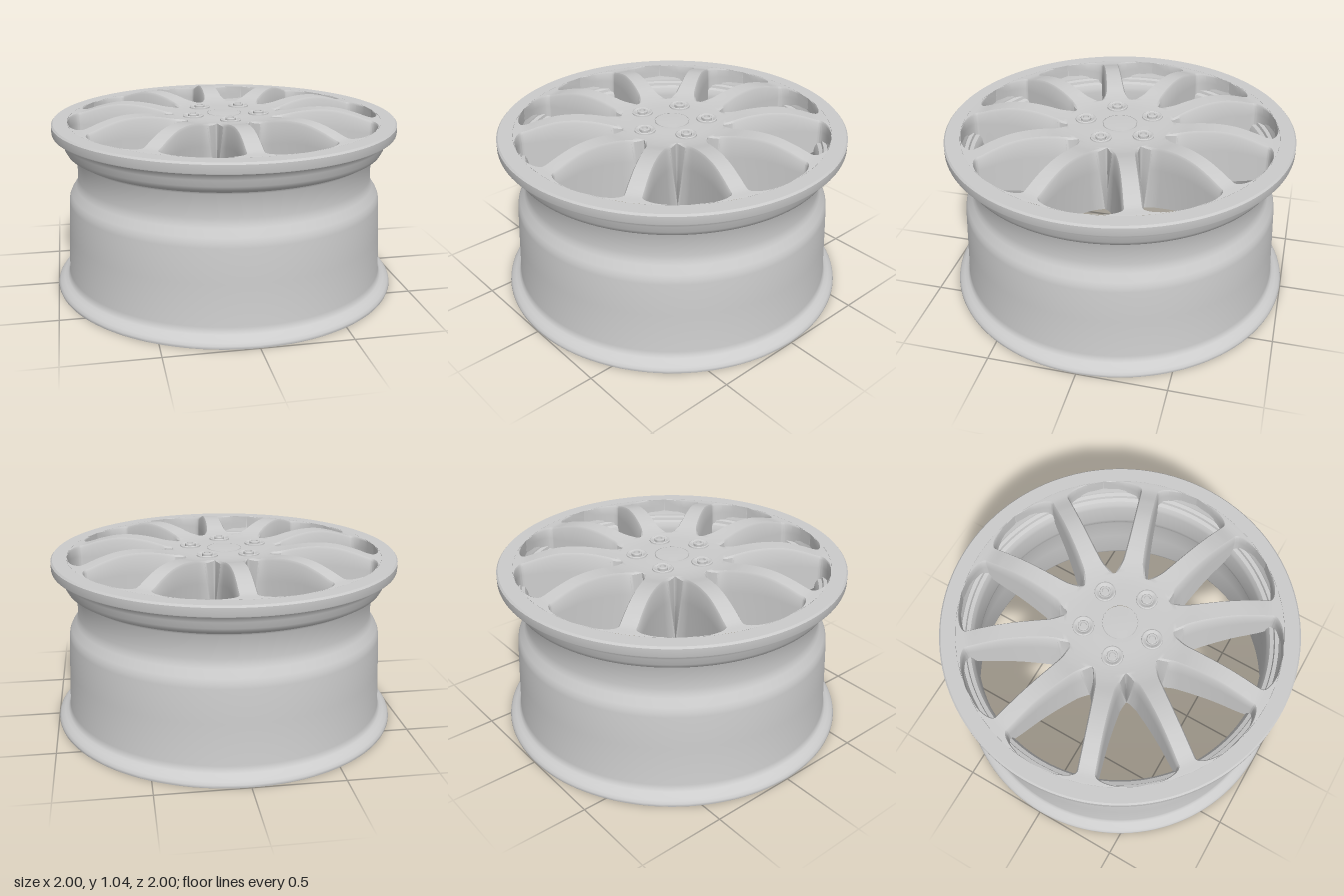
import * as THREE from 'three';
import { toCreasedNormals } from 'three/addons/utils/BufferGeometryUtils.js';

const SPOKES = 10, HALF = Math.PI / SPOKES;
const material = new THREE.MeshStandardMaterial({ color: 0xcccccc });

function add(parent, geometry, name, crease = 0.6) {
  const mesh = new THREE.Mesh(toCreasedNormals(geometry, crease), material);
  mesh.name = name;
  parent.add(mesh);
  return mesh;
}

const lathe = (points, segments) =>
  new THREE.LatheGeometry(points.map(([r, y]) => new THREE.Vector2(r, y)), segments);

// Smooth function of radius through a few [radius, value] pairs
function smooth(pairs) {
  const f = new THREE.CubicInterpolant(pairs.map(p => p[0]), pairs.map(p => p[1]), 1);
  return r => f.evaluate(r)[0];
}

const topY = smooth([[0.1, 0.995], [0.26, 0.996], [0.34, 1.005], [0.45, 1.027], [0.55, 1.037],
  [0.65, 1.032], [0.75, 1.009], [0.84, 0.981], [0.9, 0.975]]);
const bottomY = smooth([[0.1, 0.6], [0.2, 0.6], [0.27, 0.602], [0.36, 0.64], [0.5, 0.69],
  [0.65, 0.735], [0.82, 0.78], [0.9, 0.84]]);
const topHalf = smooth([[0.1, 0.075], [0.3, 0.07], [0.4, 0.058], [0.6, 0.05], [0.9, 0.052]]);
const bottomHalf = smooth([[0.1, 0.1], [0.3, 0.098], [0.4, 0.084], [0.6, 0.064], [0.9, 0.056]]);

// How far the window is open at a radius: 0 at its rounded ends, 1 between
function openness(r, tip, inner, outer) {
  const round = u => { u = Math.min(1, Math.max(0, u)); return Math.sqrt(1 - (1 - u) ** 2); };
  return round((r - tip) / inner) * round((0.9 - r) / outer);
}

function halfAngle(r, halfWidth, open) {
  const spoke = Math.min(HALF, Math.asin(Math.min(1, halfWidth / r)));
  return HALF + (spoke - HALF) * open;
}

// One tenth of the wheel face: hub wedge, spoke and flare into the rim
function spokeGeometry() {
  const positions = [], index = [];
  const rows = 160;
  let cols = 0;
  for (let i = 0; i <= rows; i++) {
    const r = 0.1 + 0.8 * i / rows;
    const openTop = openness(r, 0.295, 0.09, 0.06);
    const a = halfAngle(r, topHalf(r), openTop);
    const b = halfAngle(r, bottomHalf(r), openness(r, 0.35, 0.07, 0.06));
    const top = topY(r), bottom = bottomY(r), edge = top - 0.013 * openTop;
    const loop = [];
    for (const t of [-1, -0.85, -0.4, 0, 0.4, 0.85, 1])
      loop.push([a * t, Math.abs(t) === 1 ? edge : top]);
    const wall = (side, k) => [side * (a + (b - a) * k), edge + (bottom - edge) * k];
    loop.push(wall(1, 0.33), wall(1, 0.67));
    for (const t of [1, 0.5, 0, -0.5, -1]) loop.push([b * t, bottom]);
    loop.push(wall(-1, 0.67), wall(-1, 0.33));
    cols = loop.length;
    for (const [angle, y] of loop) positions.push(r * Math.sin(angle), y, r * Math.cos(angle));
  }
  for (let i = 0; i < rows; i++) {
    for (let j = 0; j < cols; j++) {
      const p = i * cols + j, q = i * cols + (j + 1) % cols;
      index.push(p, p + cols, q, q + cols, q, p + cols);
    }
  }
  const geometry = new THREE.BufferGeometry();
  geometry.setAttribute('position', new THREE.Float32BufferAttribute(positions, 3));
  geometry.setIndex(index);
  return geometry;
}

export function createModel() {
  const wheel = new THREE.Group();
  wheel.name = 'wheelRim';

  // Barrel with both flanges: up the outside, down the inside
  add(wheel, lathe([
    [0.975, 0], [0.998, 0], [1, 0.006], [0.998, 0.016], [0.988, 0.03], [0.965, 0.045],
    [0.945, 0.055], [0.935, 0.068], [0.931, 0.09], [0.92, 0.32], [0.91, 0.51], [0.906, 0.535],
    [0.895, 0.56], [0.868, 0.6], [0.858, 0.622], [0.854, 0.65], [0.854, 0.775], [0.86, 0.786],
    [0.885, 0.797], [0.91, 0.812], [0.922, 0.835], [0.93, 0.87], [0.938, 0.893], [0.953, 0.907],
    [0.975, 0.912], [0.987, 0.916], [0.989, 0.922], [0.989, 0.965], [0.98, 0.975],
    [0.9, 0.975], [0.9, 0.9], [0.888, 0.88], [0.886, 0.868], [0.866, 0.862], [0.862, 0.846],
    [0.842, 0.838], [0.83, 0.815], [0.826, 0.79], [0.826, 0.65], [0.832, 0.615], [0.845, 0.59],
    [0.87, 0.55], [0.882, 0.51], [0.892, 0.32], [0.903, 0.09], [0.91, 0.065], [0.925, 0.048],
    [0.95, 0.036], [0.966, 0.022], [0.97, 0.006], [0.975, 0],
  ], 128), 'barrel');

  // Spoked face
  const spoke = toCreasedNormals(spokeGeometry(), 0.6);
  for (let i = 0; i < SPOKES; i++) {
    const mesh = new THREE.Mesh(spoke, material);
    mesh.name = 'spoke';
    mesh.rotation.y = i * 2 * HALF;
    wheel.add(mesh);
  }

  // Centre cap with a fine groove, closing the bore from above
  add(wheel, lathe([[0, 0.93], [0.1, 0.93], [0.1, 0.99], [0.097, 0.99], [0.095, 0.996],
    [0.06, 0.998], [0, 0.998]], 48), 'centreCap');

  // Five lug seats, bolts and bolt ends behind the hub
  for (let i = 0; i < 5; i++) {
    const lug = new THREE.Group();
    lug.name = 'lug';
    const angle = i * 4 * HALF;
    lug.position.set(0.2 * Math.sin(angle), 0, 0.2 * Math.cos(angle));
    add(lug, lathe([[0.06, 0.99], [0.058, 1.002], [0.052, 1.005], [0.046, 1.003], [0.036, 0.996]], 32), 'lugSeat');
    add(lug, lathe([[0.03, 0.99], [0.03, 1.008], [0.027, 1.012], [0.018, 1.012], [0.016, 1.002], [0, 1.002]], 24), 'lugBolt');
    const end = add(lug, new THREE.CylinderGeometry(0.024, 0.024, 0.01, 24), 'boltEnd');
    end.position.y = 0.601;
    wheel.add(lug);
  }
  return wheel;
}
